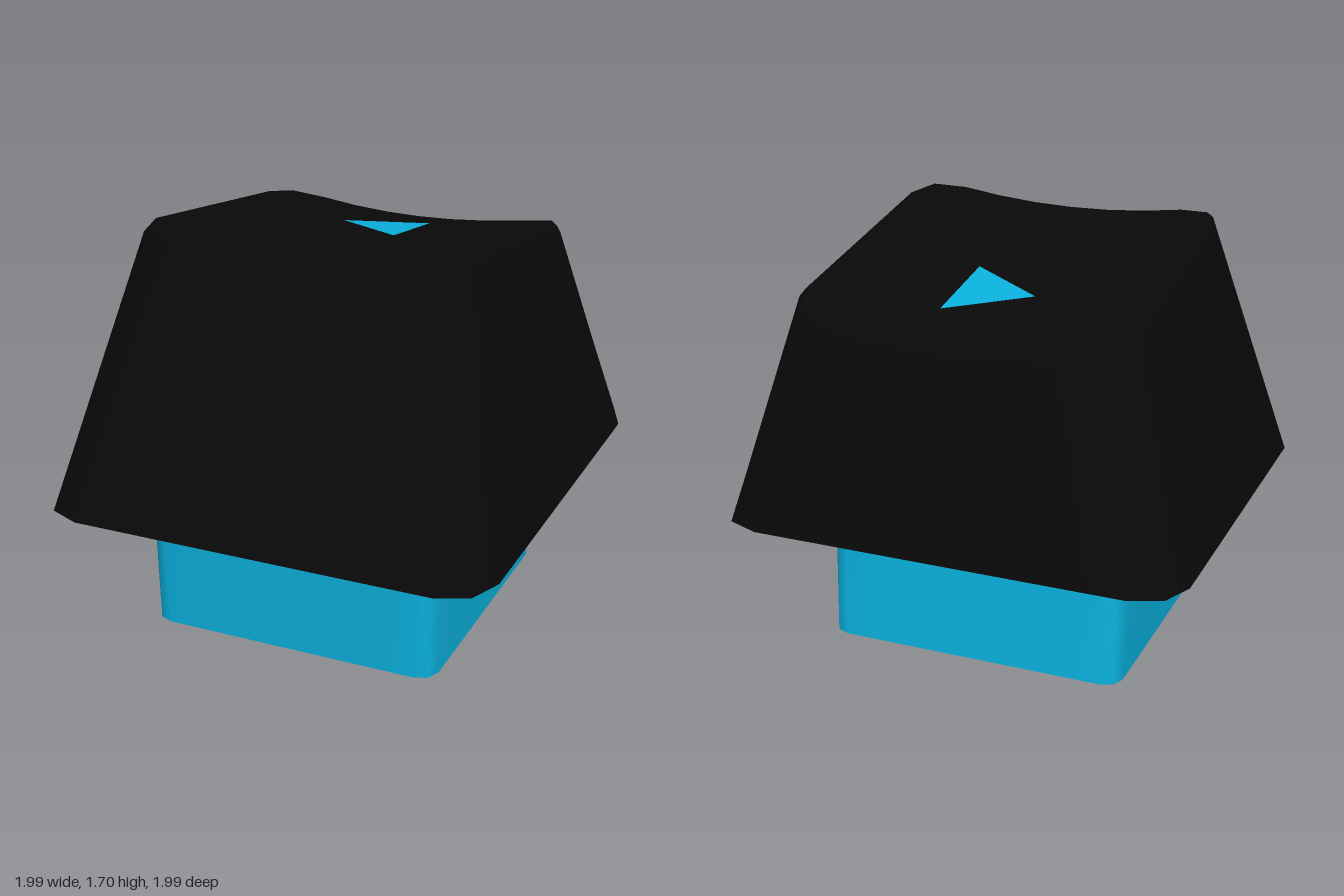
import * as THREE from 'three';

const CORNER = 2, SIDE = 6; // segments per rounded corner and per straight side

// Rounded rectangle outline in the xz plane, always with the same point count
function outline(halfX, halfZ, radius, zc = 0) {
  const arcs = [];
  for (let q = 0; q < 4; q++) {
    const start = q * Math.PI / 2, mid = start + Math.PI / 4;
    const cx = Math.sign(Math.cos(mid)) * (halfX - radius);
    const cz = Math.sign(Math.sin(mid)) * (halfZ - radius) + zc;
    const arc = [];
    for (let i = 0; i <= CORNER; i++) {
      const a = start + (i / CORNER) * Math.PI / 2;
      arc.push([cx + radius * Math.cos(a), cz + radius * Math.sin(a)]);
    }
    arcs.push(arc);
  }
  // each corner followed by the straight side towards the next one
  return arcs.flatMap((arc, q) => {
    const [ax, az] = arc[CORNER], [bx, bz] = arcs[(q + 1) % 4][0];
    const side = [];
    for (let i = 1; i < SIDE; i++) {
      side.push([ax + (bx - ax) * i / SIDE, az + (bz - az) * i / SIDE]);
    }
    return [...arc, ...side];
  });
}

// Skin through rings; a null entry breaks the surface to leave a sharp edge
function loft(rings) {
  const pos = [], idx = [];
  let prev = -1;
  for (const ring of rings) {
    if (!ring) { prev = -1; continue; }
    const base = pos.length / 3, n = ring.length;
    ring.forEach(p => pos.push(...p));
    if (prev >= 0) {
      for (let i = 0; i < n; i++) {
        const k = (i + 1) % n;
        idx.push(prev + i, base + i, prev + k, prev + k, base + i, base + k);
      }
    }
    prev = base;
  }
  const g = new THREE.BufferGeometry();
  g.setAttribute('position', new THREE.Float32BufferAttribute(pos, 3));
  g.setIndex(idx);
  g.computeVertexNormals();
  return g;
}

// Sloping top surface with a shallow trough running front to back
function topHeight(x, z) {
  const u = Math.min(1, Math.abs(x) / 0.64);
  return 1.04 + 0.17 * z - 0.066 * (1 - u * u);
}

export function createModel() {
  const black = new THREE.MeshStandardMaterial({ color: 0x090909 });
  black.name = 'black';
  const blue = new THREE.MeshStandardMaterial({ color: 0x0ab2df, side: THREE.DoubleSide });
  blue.name = 'blue';

  const model = new THREE.Group();
  model.name = 'keycap';
  const add = (name, geometry, material) => {
    const mesh = new THREE.Mesh(geometry, material);
    mesh.name = name;
    model.add(mesh);
  };

  // Cap: flat underside, sloping walls, softened edge and dished top
  const zc = -0.15;
  const rim = outline(0.953, 0.953, 0.19).map(([x, z]) => [x, 0, z]);
  const topRing = (half, radius, drop) =>
    outline(half, half, radius, zc).map(([x, z]) => [x, topHeight(x, z) - drop, z]);
  const inner = outline(0.62, 0.62, 0.16);
  const dish = [1, 0.8, 0.6, 0.4, 0.2, 0].map(s =>
    inner.map(([x, z]) => [x * s, topHeight(x * s, z * s + zc), z * s + zc]));
  add('cap', loft([
    rim.map(() => [0, 0, 0]), rim, null,
    rim, topRing(0.693, 0.19, 0.04), topRing(0.67, 0.18, 0.01), ...dish,
  ]), black);

  // Stem: open sleeve under the cap, slightly shorter front to back
  const sleeve = outline(0.63, 0.6, 0.075, 0.025);
  add('stem', loft([-0.587, 0].map(y => sleeve.map(([x, z]) => [x, y, z]))), blue);

  // Arrow: thin triangle lying on the top
  const arrow = new THREE.BufferGeometry();
  const tips = [[-0.18, -0.38], [0.135, -0.18], [0.135, -0.57]];
  arrow.setAttribute('position', new THREE.Float32BufferAttribute(
    tips.flatMap(([x, z]) => [x, topHeight(x, z) + 0.006, z]), 3));
  arrow.computeVertexNormals();
  add('arrow', arrow, blue);

  // Slight turn and forward tilt of the whole piece
  model.rotation.set(0.044, -0.06, 0, 'YXZ');
  model.position.y = 0.613;
  const group = new THREE.Group();
  group.add(model);
  return group;
}
